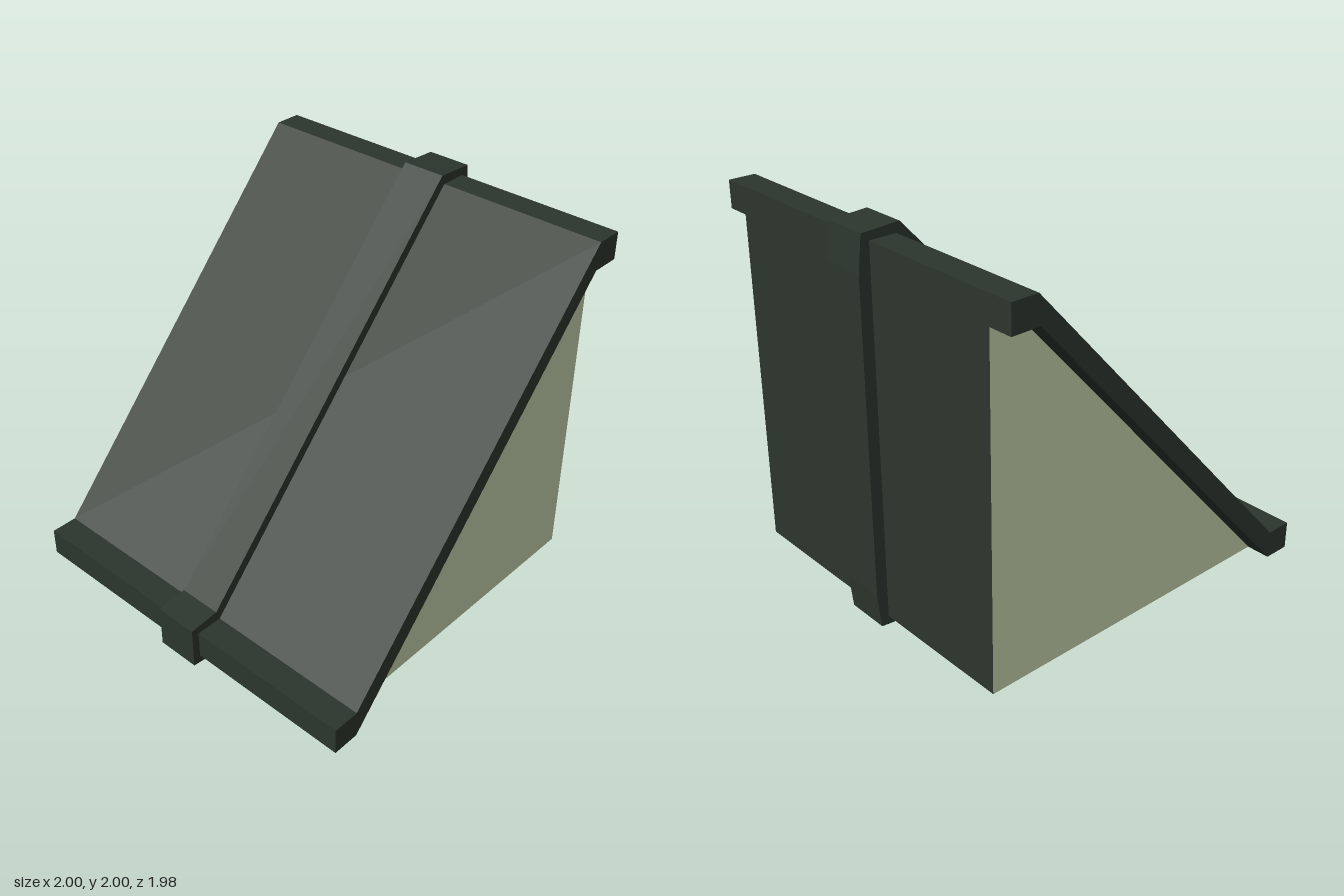
import * as THREE from 'three';

const dark = new THREE.MeshStandardMaterial({ color: 0x2c362d });
const pale = new THREE.MeshStandardMaterial({ color: 0xc3d1ac });

// Extrudes a [z, y] side profile across x, centred on x = 0
function profilePart(name, points, width, material) {
  const shape = new THREE.Shape(points.map(([z, y]) => new THREE.Vector2(-z, y)));
  const geometry = new THREE.ExtrudeGeometry(shape, { depth: width, bevelEnabled: false });
  geometry.translate(0, 0, -width / 2).rotateY(Math.PI / 2);
  const mesh = new THREE.Mesh(geometry, material);
  mesh.name = name;
  return mesh;
}

export function createModel() {
  const model = new THREE.Group();
  model.name = 'slopedRoofBlock';

  // Wedge body: pale triangular sides, dark back and underside
  model.add(profilePart('body', [
    [0.81, 0.06], [-0.78, 1.81], [-0.93, 1.81], [-0.93, 0.06],
  ], 1.75, [pale, dark]));

  // Sloped slab with a lip at the eave and at the ridge, overhanging the sides
  model.add(profilePart('roofSlab', [
    [0.95, 0.06], [0.95, 0.205], [0.81, 0.205], [-0.79, 1.95],
    [-0.93, 1.95], [-0.93, 1.81], [-0.78, 1.81], [0.81, 0.06],
  ], 2, dark));

  // Raised band wrapping all round the middle
  model.add(profilePart('centreBand', [
    [0.99, 0.02], [0.99, 0.245], [0.83, 0.26], [-0.77, 2], [-0.97, 1.99],
    [-0.99, 1.81], [-0.99, 0.2], [-0.97, 0.02], [-0.79, 0], [0.81, 0],
  ], 0.23, dark));

  return model;
}
